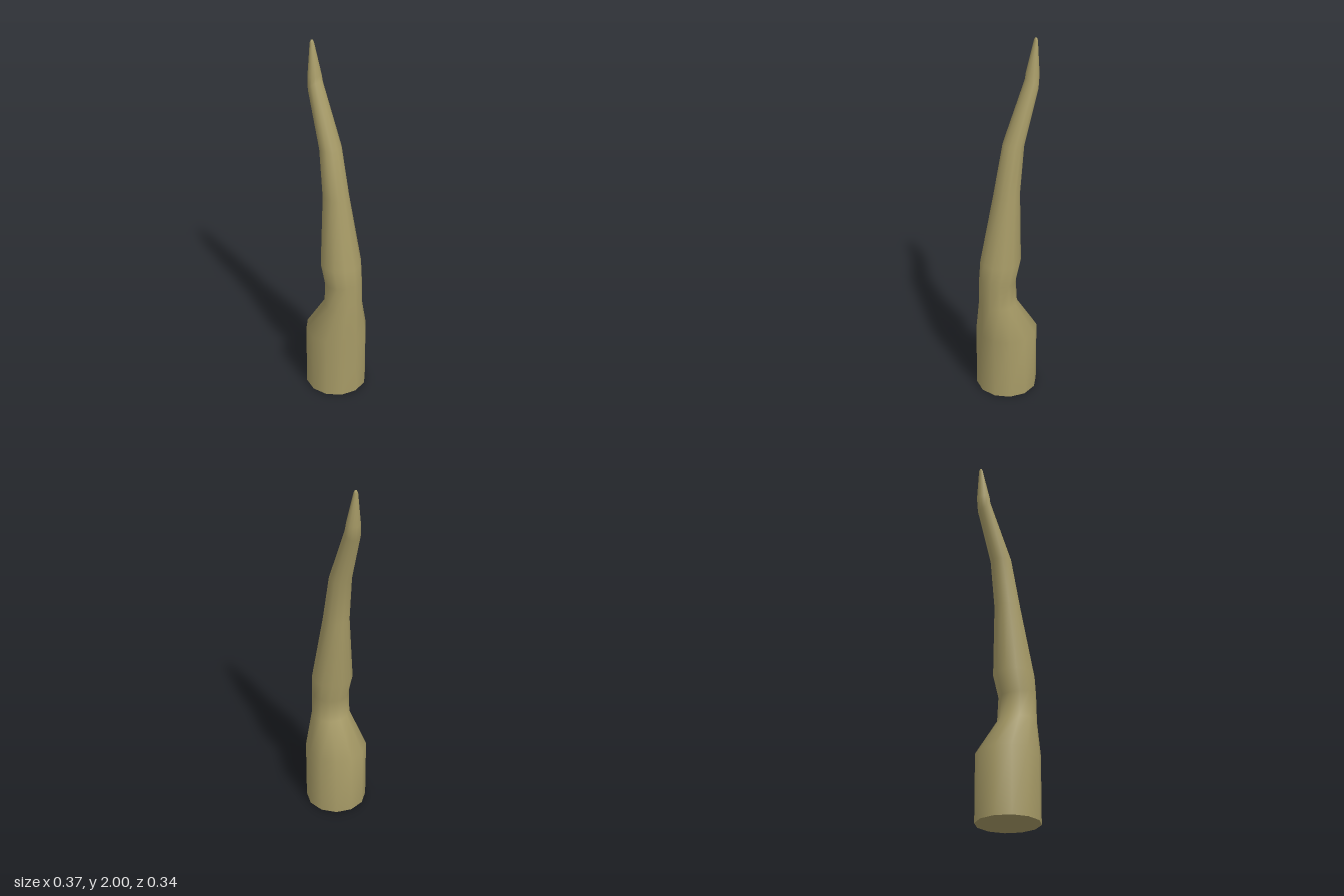
import * as THREE from 'three';

const SIDES = 12;

// Cross-sections from base to tip: [left x, left y, right x, right y, half depth]
const RINGS = [
  [-0.152, 0, 0.183, 0, 0.168],
  [-0.152, 0.36, 0.183, 0.36, 0.168],
  [-0.03, 0.55, 0.177, 0.55, 0.104],
  [-0.022, 0.68, 0.173, 0.7, 0.102],
  [-0.055, 0.8, 0.163, 0.8, 0.11],
  [-0.057, 1.19, 0.082, 1.19, 0.07],
  [-0.085, 1.45, 0.025, 1.46, 0.06],
  [-0.175, 1.73, -0.114, 1.79, 0.043],
  [-0.185, 1.81, -0.116, 1.82, 0.037],
  [-0.178, 1.985, -0.16, 1.985, 0.012],
  [-0.174, 1.998, -0.164, 1.998, 0.006],
];

// Smooth skin lofted through the elliptical rings, closed at the tip
function loft(rings) {
  const positions = [], index = [];
  for (const [xl, yl, xr, yr, depth] of rings) {
    for (let j = 0; j < SIDES; j++) {
      const a = (j / SIDES) * Math.PI * 2, t = (1 + Math.cos(a)) / 2;
      positions.push(xl + (xr - xl) * t, yl + (yr - yl) * t, depth * Math.sin(a));
    }
  }
  const tip = rings.length * SIDES;
  positions.push(-0.169, 2, 0);
  for (let i = 0; i < rings.length; i++) {
    for (let j = 0; j < SIDES; j++) {
      const a = i * SIDES + j, b = i * SIDES + ((j + 1) % SIDES);
      if (i === rings.length - 1) index.push(a, tip, b);
      else index.push(a, a + SIDES, b, b, a + SIDES, b + SIDES);
    }
  }
  const geometry = new THREE.BufferGeometry();
  geometry.setAttribute('position', new THREE.Float32BufferAttribute(positions, 3));
  geometry.setIndex(index);
  geometry.computeVertexNormals();
  return geometry;
}

export function createModel() {
  const group = new THREE.Group();
  group.name = 'curvedSpike';
  const horn = new THREE.MeshStandardMaterial({ color: 0xa69a66 });
  horn.name = 'olive horn';

  // Thick socket tapering into the bent spike
  const spike = new THREE.Mesh(loft(RINGS), horn);
  spike.name = 'spike';

  // Flat underside
  const base = new THREE.Mesh(new THREE.CircleGeometry(0.168, SIDES).rotateX(Math.PI / 2), horn);
  base.position.x = 0.0155;
  base.name = 'baseCap';

  group.add(spike, base);
  return group;
}
